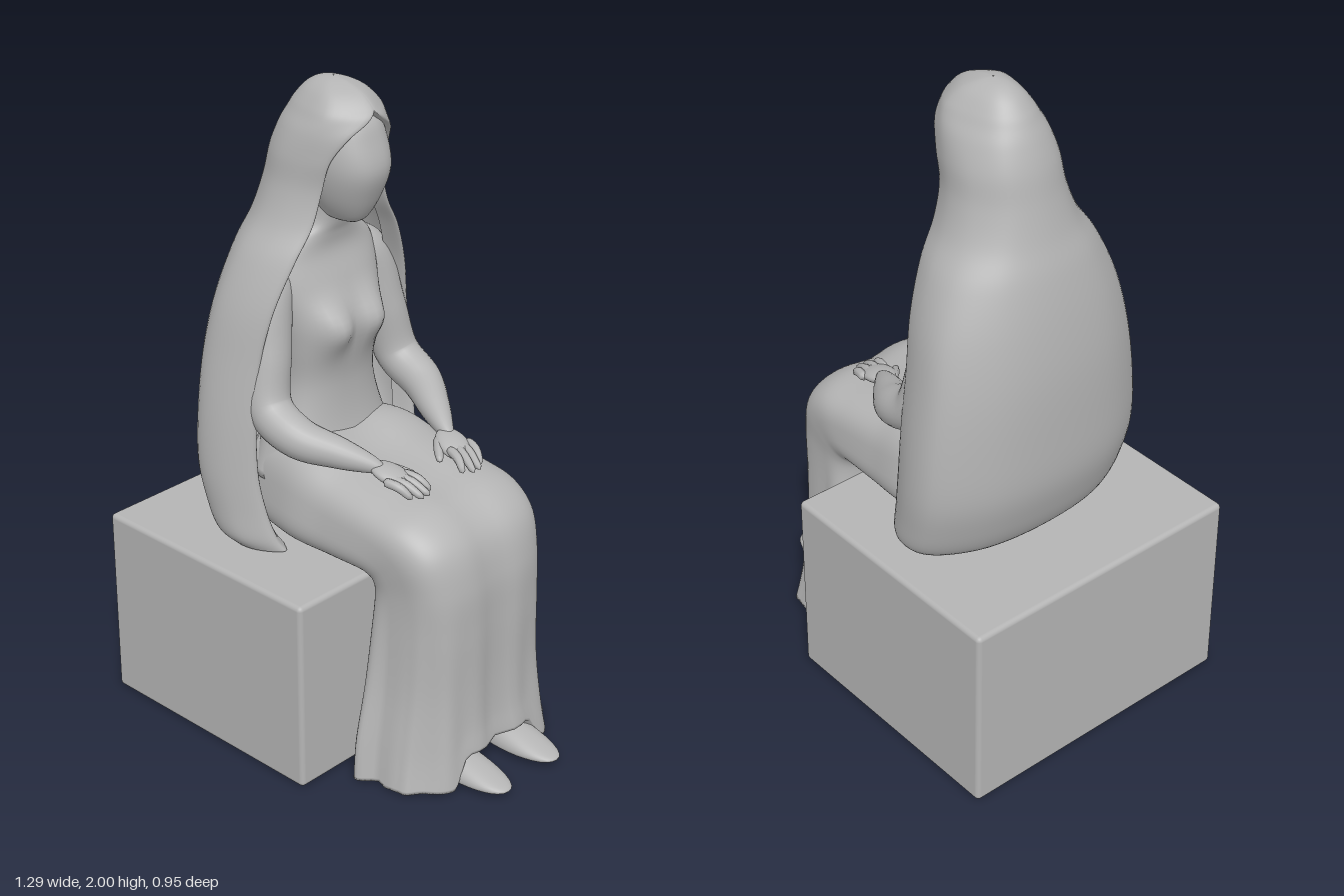
import * as THREE from 'three';
import { RoundedBoxGeometry } from 'three/addons/geometries/RoundedBoxGeometry.js';

const V = (x, y, z) => new THREE.Vector3(x, y, z);
const { lerp, smoothstep, clamp } = THREE.MathUtils;
const pow = (v, p) => Math.sign(v) * Math.abs(v) ** p;

// smooth interpolation through rows of numbers, t in 0..1
function spline(rows, t) {
  const f = t * (rows.length - 1), i = Math.min(Math.floor(f), rows.length - 2), s = f - i;
  const at = k => rows[clamp(k, 0, rows.length - 1)];
  return rows[0].map((_, c) => {
    const [a, b, d, e] = [at(i - 1)[c], at(i)[c], at(i + 1)[c], at(i + 2)[c]];
    const m = (d - a) / 2, n = (e - b) / 2;
    return b + s * (m + s * (3 * (d - b) - 2 * m - n + s * (2 * (b - d) + m + n)));
  });
}

// skin over cross-sections; closed sections get end caps and face outward
function loft(rings, closed = true) {
  const n = rings[0].length, pts = rings.flat(), idx = [];
  for (let r = 0; r < rings.length - 1; r++)
    for (let j = 0; j < (closed ? n : n - 1); j++) {
      const a = r * n + j, b = r * n + (j + 1) % n;
      idx.push(a, b, a + n, b, b + n, a + n);
    }
  if (closed) {
    [0, rings.length - 1].forEach((r, end) => {
      const c = rings[r].reduce((s, p) => s.add(p), V(0, 0, 0)).divideScalar(n);
      const k = pts.push(c) - 1;
      for (let j = 0; j < n; j++) {
        const a = r * n + j, b = r * n + (j + 1) % n;
        end ? idx.push(a, b, k) : idx.push(b, a, k);
      }
    });
    let vol = 0;
    for (let i = 0; i < idx.length; i += 3)
      vol += pts[idx[i]].dot(V(0, 0, 0).crossVectors(pts[idx[i + 1]], pts[idx[i + 2]]));
    if (vol < 0) idx.reverse();
  }
  const g = new THREE.BufferGeometry().setFromPoints(pts);
  g.setIndex(idx);
  g.computeVertexNormals();
  return g;
}

// rounded tapering limb through [x, y, z, radius] stations
function limb(rows, steps = 30, sides = 16) {
  const curve = new THREE.CatmullRomCurve3(rows.map(r => V(r[0], r[1], r[2])));
  const frames = curve.computeFrenetFrames(steps), rings = [];
  for (let i = 0; i <= steps; i++) {
    const t = i / steps, p = curve.getPointAt(t);
    const r = spline(rows, curve.getUtoTmapping(t))[3] * Math.sqrt(Math.max(1e-4, 1 - Math.abs(2 * t - 1) ** 10));
    rings.push(Array.from({ length: sides }, (_, j) => {
      const a = j / sides * Math.PI * 2;
      return p.clone().addScaledVector(frames.normals[i], r * Math.cos(a))
        .addScaledVector(frames.binormals[i], r * Math.sin(a));
    }));
  }
  return loft(rings);
}

// upright body from [y, back x, front x, half width] rows
function upright(rows, steps, power, shape = p => p) {
  const rings = [];
  for (let i = 0; i <= steps; i++) {
    const [y, xb, xf, w] = spline(rows, i / steps);
    rings.push(Array.from({ length: 48 }, (_, j) => {
      const a = j / 48 * Math.PI * 2;
      return shape(V((xb + xf) / 2 + (xf - xb) / 2 * pow(Math.cos(a), power), y, w * pow(Math.sin(a), 0.85)));
    }));
  }
  return loft(rings);
}

export function createModel() {
  const stone = new THREE.MeshStandardMaterial({ color: 0xb4b4b4 });
  stone.name = 'grey stone';
  stone.side = THREE.DoubleSide;
  const model = new THREE.Group(), figure = new THREE.Group();
  figure.name = 'seatedFigure';
  figure.position.z = -0.015;
  const add = (name, geo, parent = figure) => {
    const m = new THREE.Mesh(geo, stone);
    m.name = name;
    parent.add(m);
    return m;
  };

  // block seat
  add('blockSeat', new RoundedBoxGeometry(0.82, 0.615, 0.95, 3, 0.015), model).position.set(-0.24, 0.3075, 0);

  // veil: open sections [y, back x, front edge x, half width, edge half gap]
  const veilRows = [
    [0.62, -0.38, -0.09, 0.355, 0.29], [0.66, -0.42, -0.11, 0.385, 0.31], [0.74, -0.455, -0.135, 0.395, 0.325],
    [0.86, -0.485, -0.157, 0.4, 0.335], [1.02, -0.49, -0.165, 0.388, 0.33], [1.2, -0.485, -0.165, 0.36, 0.31],
    [1.36, -0.465, -0.142, 0.325, 0.275], [1.5, -0.435, -0.115, 0.268, 0.215], [1.6, -0.402, -0.1, 0.205, 0.155],
    [1.7, -0.375, -0.09, 0.17, 0.125], [1.79, -0.355, -0.065, 0.158, 0.117], [1.86, -0.33, -0.025, 0.14, 0.085],
    [1.905, -0.307, 0, 0.118, 0.03], [1.935, -0.288, -0.008, 0.1, 0], [1.97, -0.255, -0.05, 0.07, 0],
    [1.992, -0.215, -0.11, 0.035, 0], [2, -0.165, -0.16, 0.002, 0]];
  const veil = [];
  for (let i = 0; i <= 90; i++) {
    const [y, xb, xf, w, e0] = spline(veilRows, i / 90), d = xf - xb, e = Math.max(0, e0);
    const half = [[xf - 0.15 * d, e * 0.88], [xf, e], [xb + 0.72 * d, w * 0.98], [xb + 0.4 * d, w * 0.96], [xb + 0.1 * d, w * 0.6]];
    const path = [...half.map(p => V(p[0], y, p[1])), V(xb, y, 0), ...half.reverse().map(p => V(p[0], y, -p[1]))];
    veil.push(new THREE.CatmullRomCurve3(path).getPoints(70));
  }
  add('veil', loft(veil, false));

  // face with a soft central ridge
  add('face', upright([
    [1.585, -0.15, -0.075, 0.02], [1.605, -0.2, -0.045, 0.055], [1.67, -0.23, -0.008, 0.092], [1.755, -0.25, 0.02, 0.114],
    [1.84, -0.25, 0, 0.115], [1.9, -0.23, -0.03, 0.09], [1.93, -0.2, -0.1, 0.03]], 30, 1.1));

  // torso, bust and neck
  add('torso', upright([
    [0.8, -0.36, -0.05, 0.25], [0.95, -0.34, -0.09, 0.195], [1.08, -0.32, -0.1, 0.16], [1.2, -0.33, -0.085, 0.168],
    [1.3, -0.35, -0.09, 0.185], [1.4, -0.36, -0.12, 0.205], [1.48, -0.34, -0.148, 0.195], [1.535, -0.31, -0.145, 0.13],
    [1.58, -0.28, -0.13, 0.075], [1.68, -0.26, -0.1, 0.065]], 50, 0.8, p => {
    const bump = Math.exp(-(((Math.abs(p.z) - 0.075) / 0.06) ** 2) - ((p.y - 1.27) / 0.07) ** 2);
    if (p.x > -0.2) p.x += 0.05 * bump;
    return p;
  }));

  // skirt: sections fan round the knee [inner x, inner y, outer x, outer y, inner half width, outer half width]
  const skirtRows = [
    [-0.32, 0.62, -0.32, 0.92, 0.25, 0.2], [-0.1, 0.617, -0.1, 0.945, 0.31, 0.25], [0.05, 0.617, 0.06, 0.905, 0.3, 0.26],
    [0.165, 0.617, 0.22, 0.878, 0.29, 0.265], [0.175, 0.61, 0.355, 0.85, 0.28, 0.27], [0.178, 0.6, 0.45, 0.775, 0.27, 0.265],
    [0.18, 0.57, 0.49, 0.65, 0.27, 0.25], [0.18, 0.48, 0.498, 0.5, 0.285, 0.245], [0.18, 0.3, 0.498, 0.3, 0.315, 0.25],
    [0.178, 0.13, 0.505, 0.13, 0.35, 0.275], [0.18, 0.005, 0.515, 0.008, 0.36, 0.31]];
  const skirt = [];
  for (let i = 0; i <= 80; i++) {
    const t = i / 80, [xi, yi, xo, yo, wi, wo] = spline(skirtRows, t);
    const fold = smoothstep(t, 0.55, 0.95), hem = smoothstep(t, 0.82, 1);
    skirt.push(Array.from({ length: 96 }, (_, j) => {
      const a = j / 96 * Math.PI * 2;
      let u = 0.5 + 0.5 * pow(Math.cos(a), 0.6);
      let z = pow(Math.sin(a), 0.6) * lerp(wi, wo, u);
      // side pleats, hollow between the legs, hem lifted over the feet
      z *= 1 + fold * (0.07 * Math.cos(u * 15 - 3) - 0.1 * Math.exp(-(((u - 0.62) / 0.08) ** 2)));
      const front = smoothstep(u, 0.6, 0.9);
      u -= front * (0.05 * Math.exp(-((z / 0.07) ** 2)) + 0.02 * fold * Math.cos(z * 45));
      const lift = 0.09 * hem * front * (1 - smoothstep(Math.abs(z), 0.13, 0.2));
      return V(lerp(xi, xo, u), lerp(yi, yo, u) + lift, z);
    }));
  }
  add('skirt', loft(skirt));

  for (const s of [1, -1]) {
    const side = s > 0 ? 'left' : 'right';
    const m = rows => rows.map(([x, y, z, r]) => [x, y, z * s, r]);

    // sleeve and forearm
    add(side + 'Arm', limb(m([
      [-0.25, 1.47, 0.12, 0.06], [-0.235, 1.4, 0.195, 0.075], [-0.2, 1.22, 0.24, 0.07], [-0.165, 1.06, 0.27, 0.068],
      [-0.06, 1.0, 0.265, 0.062], [0.05, 0.965, 0.205, 0.047], [0.14, 0.938, 0.155, 0.03], [0.18, 0.925, 0.14, 0.024]]), 48, 24));

    // hand: palm, four fingers and thumb
    const hand = new THREE.Group();
    hand.name = side + 'Hand';
    figure.add(hand);
    const palm = add('palm', new THREE.SphereGeometry(1, 24, 16), hand);
    palm.scale.set(0.07, 0.022, 0.048);
    palm.position.set(0.19, 0.918, 0.132 * s);
    palm.rotation.set(0, 0.3 * s, -0.3);
    for (let f = 0; f < 4; f++) {
      const z = 0.092 + f * 0.026, reach = [0.285, 0.305, 0.305, 0.285][f];
      add('finger', limb(m([[0.2, 0.918, z + 0.008, 0.014], [0.25, 0.908, z - 0.006, 0.014], [reach, 0.878, z - 0.022, 0.01]]), 12, 8), hand);
    }
    add('thumb', limb(m([[0.14, 0.925, 0.125, 0.018], [0.175, 0.91, 0.085, 0.015], [0.21, 0.895, 0.052, 0.01]]), 12, 8), hand);

    // foot: flat sole, low toe
    const foot = new THREE.SphereGeometry(1, 32, 20), p = foot.attributes.position;
    for (let i = 0; i < p.count; i++) {
      const x = p.getX(i), y = p.getY(i);
      p.setXYZ(i, 0.475 + 0.168 * x, 0.028 + y * (y > 0 ? 0.055 - 0.035 * x : 0.025), s * 0.11 + pow(p.getZ(i), 0.9) * 0.067);
    }
    foot.computeVertexNormals();
    add(side + 'Foot', foot);
  }

  model.add(figure);
  return model;
}
